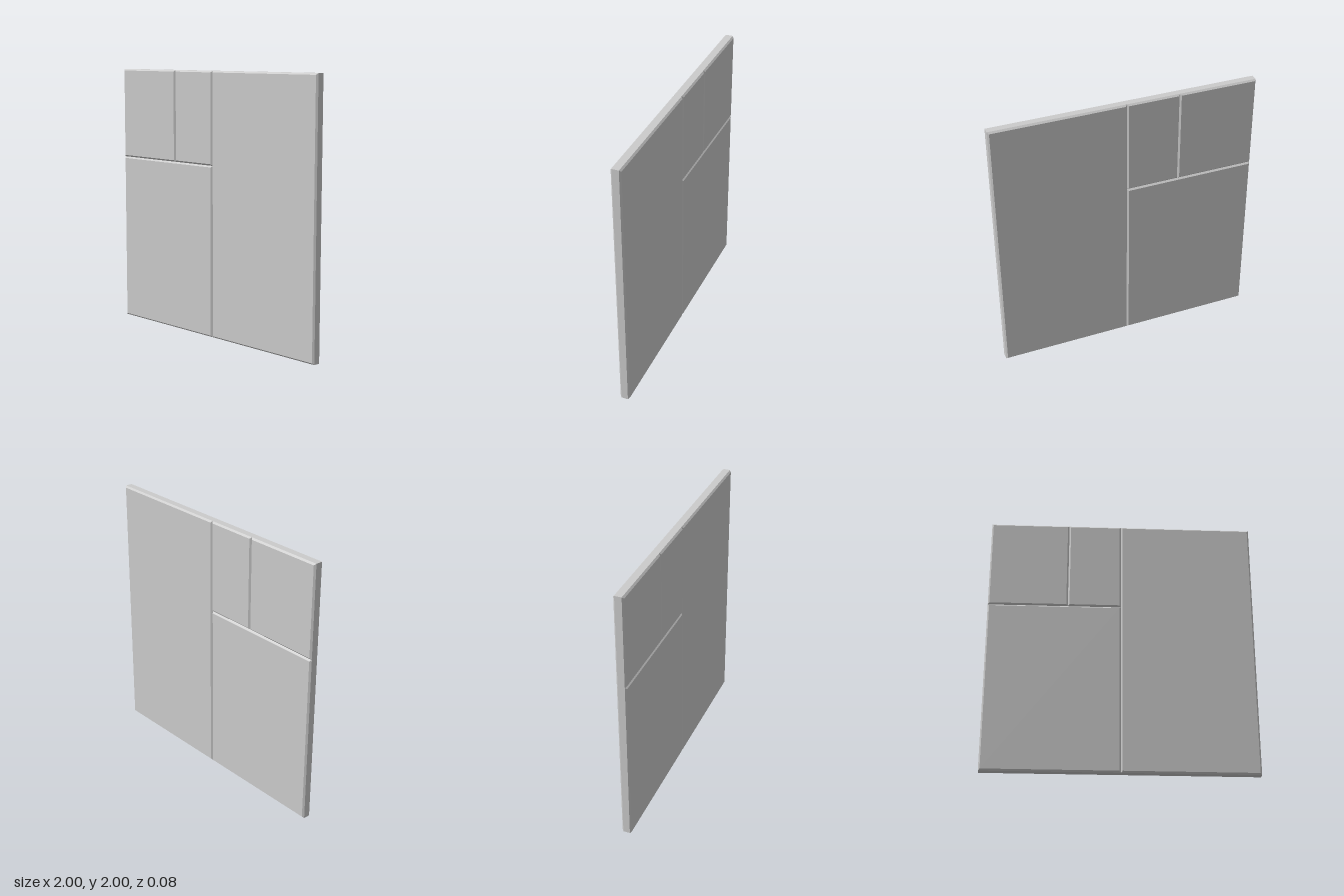
import * as THREE from 'three';

const THICKNESS = 0.075;
const BEVEL = 0.012;

// Flat slab filling a rectangle, with chamfered front and back rims
function panel(name, x0, x1, y0, y1, material) {
  const shape = new THREE.Shape();
  shape.moveTo(x0 + BEVEL, y0 + BEVEL);
  shape.lineTo(x1 - BEVEL, y0 + BEVEL);
  shape.lineTo(x1 - BEVEL, y1 - BEVEL);
  shape.lineTo(x0 + BEVEL, y1 - BEVEL);
  shape.closePath();
  const depth = THICKNESS - 2 * BEVEL;
  const geometry = new THREE.ExtrudeGeometry(shape, {
    depth,
    bevelEnabled: true,
    bevelSize: BEVEL,
    bevelThickness: BEVEL,
    bevelSegments: 1,
  });
  geometry.translate(0, 0, -depth / 2);
  const mesh = new THREE.Mesh(geometry, material);
  mesh.name = name;
  return mesh;
}

export function createModel() {
  const group = new THREE.Group();
  group.name = 'panelWall';
  const material = new THREE.MeshStandardMaterial({ color: 0xcccccc, flatShading: true });

  // Seams between neighbouring panels
  const seamY = 1.303;
  const seamX = -0.4;

  group.add(
    panel('tallPanel', 0, 1, 0, 2, material),
    panel('lowerPanel', -1, 0, 0, seamY, material),
    panel('upperWidePanel', -1, seamX, seamY, 2, material),
    panel('upperNarrowPanel', seamX, 0, seamY, 2, material),
  );
  return group;
}
